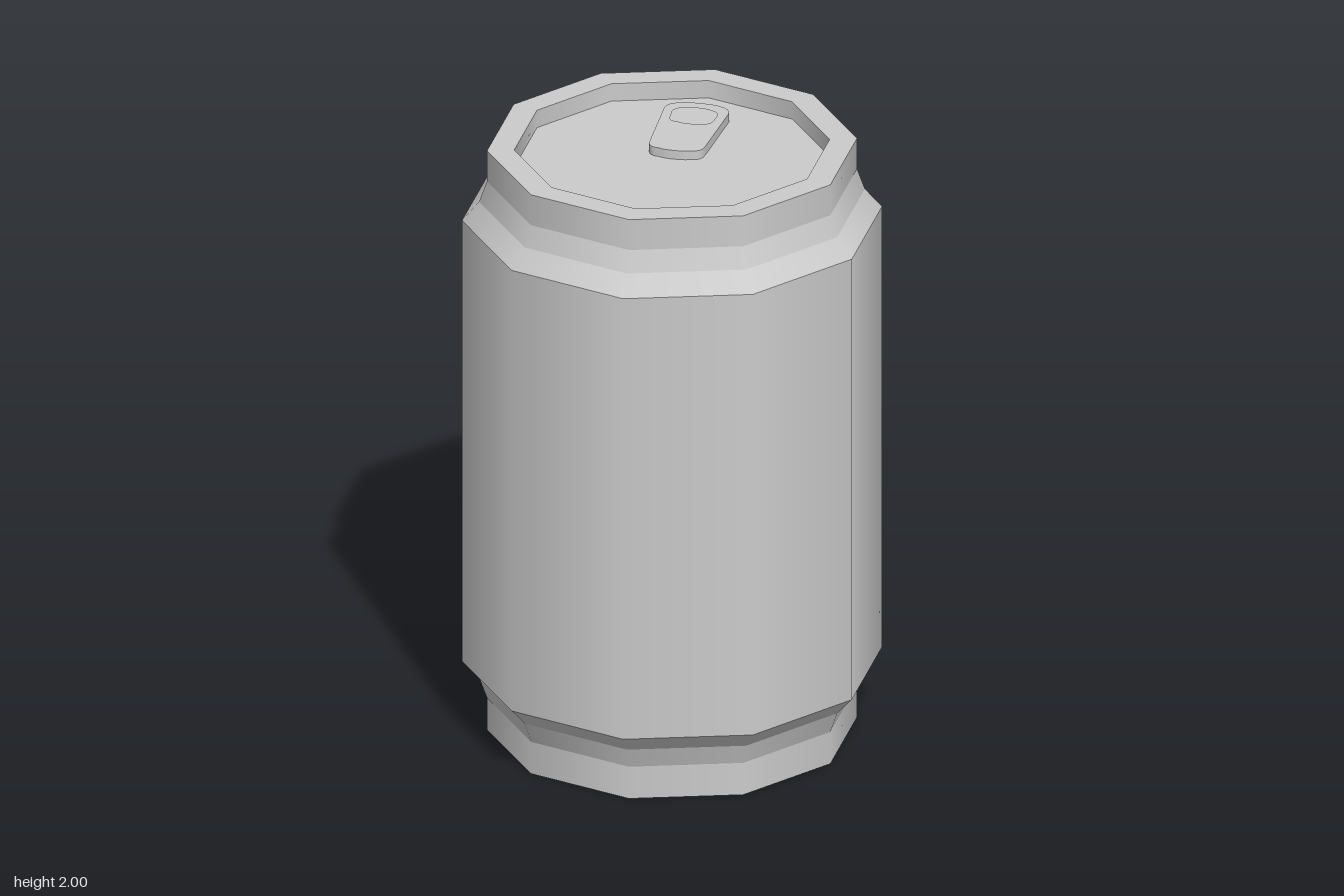
import * as THREE from 'three';
import { mergeGeometries, toCreasedNormals } from 'three/addons/utils/BufferGeometryUtils.js';

const SIDES = 10;
const LID_Y = 1.94;
const material = new THREE.MeshStandardMaterial({ color: 0xcccccc });

// Ten-sided band turned from a short profile: smooth around, sharp at its ends.
function band(...profile) {
  return new THREE.LatheGeometry(profile.map(([r, y]) => new THREE.Vector2(r, y)), SIDES);
}

function bands(profile) {
  return mergeGeometries(profile.slice(1).map((p, i) => band(profile[i], p)));
}

function addPart(group, name, geometry) {
  const mesh = new THREE.Mesh(geometry, material);
  mesh.name = name;
  group.add(mesh);
  return mesh;
}

// Closed outline with rounded corners, symmetric in x.
function roundedOutline(target, topY, topW, botY, botW, corner) {
  const c = corner;
  const bulge = 0.008;
  target.moveTo(0, topY);
  target.quadraticCurveTo(topW - c, topY, topW - c * 0.75, topY - bulge);
  target.quadraticCurveTo(topW, topY - c * 0.4, topW, topY - c);
  target.lineTo(botW, botY + c);
  target.quadraticCurveTo(botW, botY + bulge, botW - c * 0.75, botY + bulge);
  target.quadraticCurveTo(botW - c, botY, 0, botY);
  target.quadraticCurveTo(c - botW, botY, c * 0.75 - botW, botY + bulge);
  target.quadraticCurveTo(-botW, botY + bulge, -botW, botY + c);
  target.lineTo(-topW, topY - c);
  target.quadraticCurveTo(-topW, topY - c * 0.4, c * 0.75 - topW, topY - bulge);
  target.quadraticCurveTo(c - topW, topY, 0, topY);
  return target;
}

export function createModel() {
  const can = new THREE.Group();
  can.name = 'can';

  // Hollow, domed underside
  addPart(can, 'bottomDome', band([0, 0.18], [0.2, 0.165], [0.36, 0.12], [0.46, 0.06], [0.5, 0]));

  // Foot, wall, shoulder and neck, with flat rims at both ends
  addPart(can, 'foot', bands([[0.5, 0], [0.583, 0], [0.583, 0.11], [0.608, 0.18], [0.662, 0.24]]));
  addPart(can, 'wall', band([0.662, 0.24], [0.662, 1.762]));
  addPart(can, 'neck', bands([[0.662, 1.762], [0.608, 1.825], [0.583, 1.895], [0.583, 2], [0.497, 2], [0.497, LID_Y]]));

  // Sunken lid
  addPart(can, 'lid', band([0.497, LID_Y], [0, LID_Y]));

  // Pull tab with a finger hole
  const shape = roundedOutline(new THREE.Shape(), 0.388, 0.104, 0.022, 0.09, 0.055);
  shape.holes.push(roundedOutline(new THREE.Path(), 0.35, 0.073, 0.23, 0.07, 0.04));
  const tab = new THREE.ExtrudeGeometry(shape, { depth: 0.03, bevelEnabled: false, curveSegments: 4 });
  tab.rotateX(-Math.PI / 2);
  addPart(can, 'pullTab', toCreasedNormals(tab, 0.7)).position.y = LID_Y;

  return can;
}
